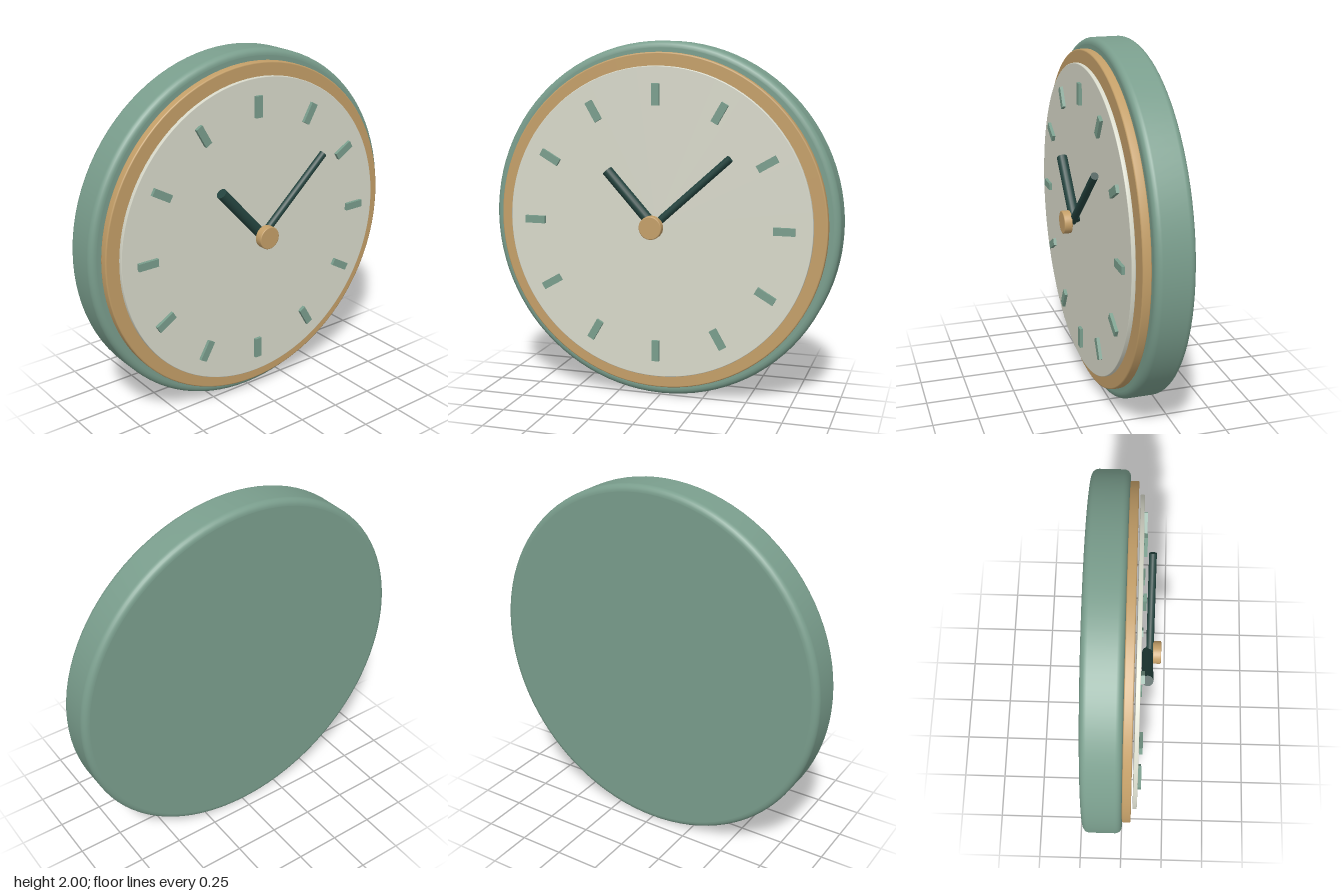
import * as THREE from 'three';

const material = (name, color) => {
  const m = new THREE.MeshStandardMaterial({ color });
  m.name = name;
  return m;
};

// Solid disc facing +z with rounded rims, turned from a profile
function disc(radius, back, front, bevel, steps, segments) {
  const pts = [new THREE.Vector2(0, back)];
  const rim = (z, a0) => {
    for (let i = 0; i <= steps; i++) {
      const a = a0 + (i / steps) * Math.PI / 2;
      pts.push(new THREE.Vector2(radius - bevel + bevel * Math.cos(a), z + bevel * Math.sin(a)));
    }
  };
  // short extra points keep the flat faces flat under smooth normals
  pts.push(new THREE.Vector2(radius - bevel - 0.002, back));
  rim(back + bevel, -Math.PI / 2);
  rim(front - bevel, 0);
  pts.push(new THREE.Vector2(radius - bevel - 0.002, front), new THREE.Vector2(0, front));
  return new THREE.LatheGeometry(pts, segments).rotateX(Math.PI / 2);
}

export function createModel() {
  const clock = new THREE.Group();
  clock.name = 'wallClock';
  const green = material('sage green', 0x7a9e8d);
  const brass = material('warm brass', 0xc49f68);
  const cream = material('cream', 0xd8d9ca);
  const dark = material('dark teal', 0x24443f);

  const add = (name, geometry, mat, parent = clock) => {
    const mesh = new THREE.Mesh(geometry, mat);
    mesh.name = name;
    parent.add(mesh);
    return mesh;
  };

  // Everything is built around the dial centre
  const centre = new THREE.Group();
  centre.name = 'clockBody';
  centre.position.y = 1;
  clock.add(centre);

  add('case', disc(1, -0.2, 0.008, 0.035, 6, 96), green, centre);
  add('trimRing', disc(0.94, 0.008, 0.055, 0.006, 2, 96), brass, centre);
  add('dial', disc(0.867, 0.064, 0.086, 0.002, 1, 96), cream, centre);

  // Twelve hour markers
  const markers = new THREE.Group();
  markers.name = 'hourMarkers';
  centre.add(markers);
  for (let i = 0; i < 12; i++) {
    const geometry = new THREE.BoxGeometry(0.042, 0.118, 0.018)
      .translate(0, 0.714, 0.097)
      .rotateZ((i * Math.PI) / 6);
    add('hourMarker', geometry, green, markers);
  }

  // Round hands reaching from the centre to a tip
  const hand = (name, x, y, z, radius) => {
    const length = Math.hypot(x, y);
    const geometry = new THREE.CylinderGeometry(radius, radius, length, 16)
      .translate(0, length / 2, 0);
    const mesh = add(name, geometry, dark, centre);
    mesh.position.z = z;
    mesh.rotation.z = Math.atan2(-x, y);
  };
  hand('hourHand', -0.268, 0.297, 0.125, 0.03);
  hand('minuteHand', 0.426, 0.384, 0.138, 0.021);

  // Centre cap over the hands
  add('centreCap', disc(0.064, 0.154, 0.2, 0.004, 2, 32), brass, centre);

  return clock;
}
